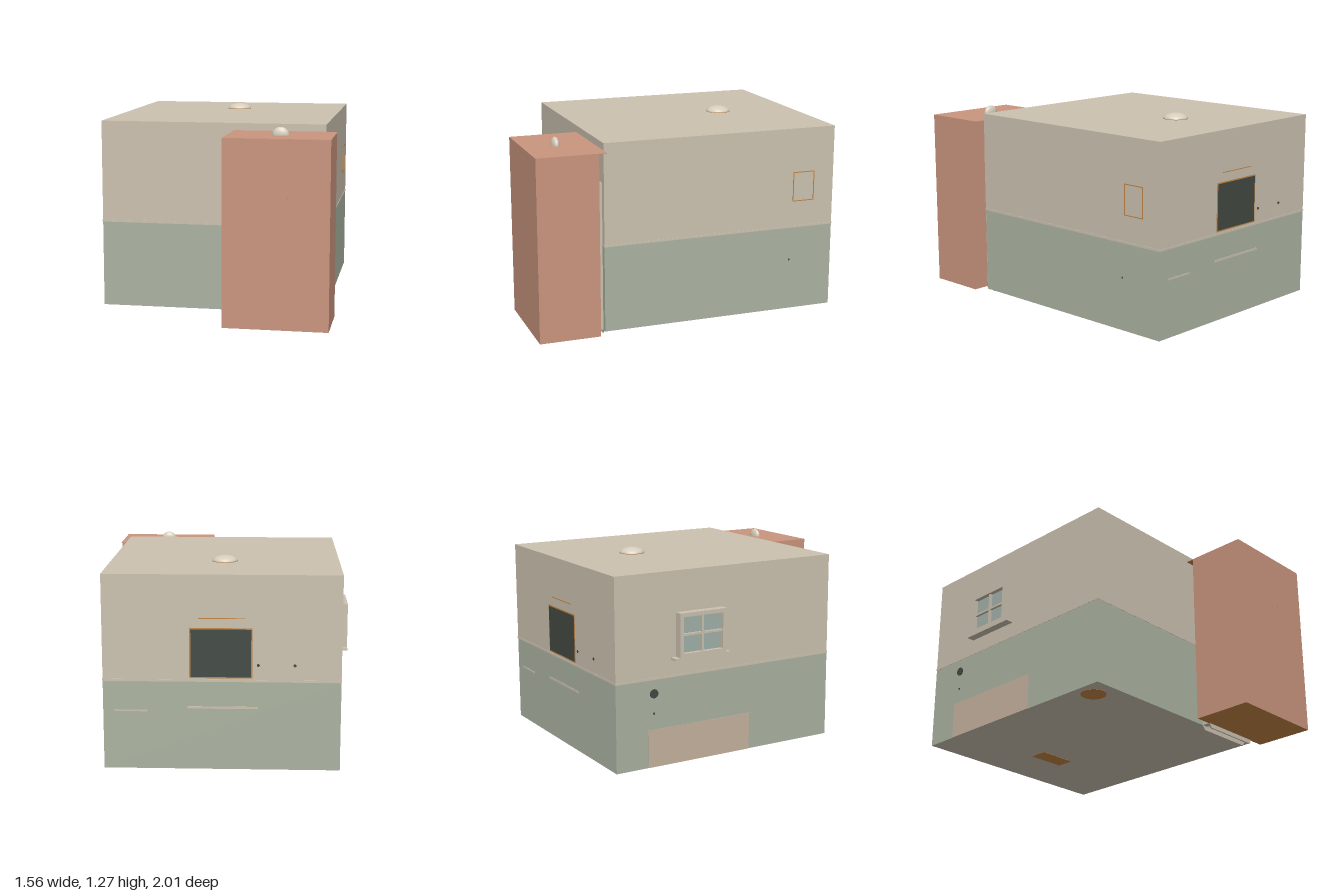
import * as THREE from 'three';

const mat = (name, color) => {
  const m = new THREE.MeshStandardMaterial({ color });
  m.name = name;
  return m;
};

export function createModel() {
  const model = new THREE.Group();
  model.name = 'room';

  const cream = mat('creamPlaster', 0xcbc1af);
  const green = mat('sageGreen', 0xabb3a1);
  const salmon = mat('salmon', 0xca957e);
  const wood = mat('wood', 0xc38643);
  const dark = mat('darkScreen', 0x424943);
  const glass = mat('glass', 0xa2b1a9);
  const pale = mat('paleLamp', 0xd6cdbd);
  const beige = mat('beigePanel', 0xc6b39f);

  // Box given by its lower and upper limits on each axis
  const box = (name, material, [x0, x1], [y0, y1], [z0, z1], parent = model) => {
    const mesh = new THREE.Mesh(new THREE.BoxGeometry(x1 - x0, y1 - y0, z1 - z0), material);
    mesh.position.set((x0 + x1) / 2, (y0 + y1) / 2, (z0 + z1) / 2);
    mesh.name = name;
    parent.add(mesh);
    return mesh;
  };

  // Main room limits
  const X0 = -0.73, X1 = 0.71, Z0 = -1, Z1 = 0.56;
  const T = 0.003;

  // Main room: cream upper walls, green lower walls, cream underside
  box('upperWalls', cream, [X0, X1], [0.58, 1.235], [Z0, Z1]);
  box('lowerWalls', [green, green, green, cream, green, green], [X0, X1], [0.03, 0.58], [Z0, Z1]);
  box('wallRail', cream, [X0 - T, X1 + T], [0.582, 0.594], [Z0 - T, Z1 + T]);

  // Entrance hall: walls, overhanging ceiling sheet, wooden floor
  box('hallWalls', [salmon, salmon, salmon, wood, salmon, salmon], [0.13, 0.78], [0.03, 1.187], [0.61, 1]);
  box('hallCeiling', [salmon, salmon, salmon, wood, salmon, salmon], [0.13, 0.78], [1.186, 1.19], [0.56, 1]);
  box('peephole', dark, [0.523, 0.527], [0.838, 0.842], [1, 1.001]);

  // Door frame between hall and room
  const door = new THREE.Group();
  door.name = 'doorFrame';
  model.add(door);
  for (const x of [0.24, 0.63]) box('doorJamb', cream, [x, x + 0.04], [0.03, 0.98], [0.56, 0.61], door);
  box('doorHeader', cream, [0.24, 0.67], [0.94, 0.98], [0.56, 0.61], door);

  // Threshold strips with slanted ends, under the doorway
  const sill = new THREE.Shape([[0.24, 0.03], [0.26, 0.002], [0.655, 0.002], [0.67, 0.03]].map(p => new THREE.Vector2(...p)));
  for (const z of [0.552, 0.608]) {
    const strip = new THREE.Mesh(new THREE.ExtrudeGeometry(sill, { depth: 0.009, bevelEnabled: false }), cream);
    strip.position.z = z;
    strip.name = 'threshold';
    model.add(strip);
  }

  // Ceiling lamps: flattened half domes
  const lamp = (name, x, y, z, rx, ry, rz) => {
    const dome = new THREE.Mesh(new THREE.SphereGeometry(1, 32, 12, 0, Math.PI * 2, 0, Math.PI / 2), pale);
    dome.scale.set(rx, ry, rz);
    dome.position.set(x, y, z);
    dome.name = name;
    model.add(dome);
  };
  lamp('roomLamp', -0.01, 1.235, -0.49, 0.08, 0.037, 0.08);
  lamp('hallLamp', 0.455, 1.19, 0.79, 0.052, 0.05, 0.025);
  const rim = new THREE.Mesh(new THREE.CylinderGeometry(0.081, 0.081, 0.004, 32), wood);
  rim.position.set(-0.01, 1.236, -0.49);
  rim.name = 'lampRim';
  model.add(rim);

  // Side window: frame, cross bars, glass and sill
  const win = new THREE.Group();
  win.name = 'sideWindow';
  model.add(win);
  const out = [-0.783, X0];
  box('windowSill', cream, out, [0.69, 0.705], [-0.62, -0.225], win);
  for (const z of [-0.585, -0.28]) box('windowStile', cream, out, [0.705, 0.98], [z, z + 0.025], win);
  for (const y of [0.705, 0.955]) box('windowRail', cream, out, [y, y + 0.025], [-0.56, -0.28], win);
  box('windowGlass', glass, [-0.755, -0.75], [0.73, 0.955], [-0.56, -0.28], win);
  box('windowMullion', cream, [-0.772, X0], [0.73, 0.955], [-0.427, -0.413], win);
  box('windowCrossbar', cream, [-0.772, X0], [0.836, 0.85], [-0.56, -0.28], win);

  // Low panel and dark knobs on the window side
  box('sidePanel', beige, [X0 - T, X0], [0.03, 0.268], [-0.78, -0.05]);
  const disc = (name, material, r, thick, pos, rot) => {
    const mesh = new THREE.Mesh(new THREE.CylinderGeometry(r, r, thick, 20), material);
    mesh.position.set(...pos);
    mesh.rotation.set(...rot);
    mesh.name = name;
    model.add(mesh);
  };
  const alongX = [0, 0, Math.PI / 2], alongZ = [Math.PI / 2, 0, 0];
  disc('sideKnob', dark, 0.028, 0.008, [X0 - 0.002, 0.495, -0.74], alongX);
  disc('sidePin', dark, 0.007, 0.004, [X0, 0.37, -0.74], alongX);
  disc('oppositePin', dark, 0.006, 0.004, [X1, 0.365, -0.7], alongX);

  // Back wall: framed dark screen, thin strips and knobs
  box('screenFrame', wood, [-0.195, 0.185], [0.603, 0.912], [Z0 - 0.002, Z0]);
  box('screen', dark, [-0.187, 0.177], [0.611, 0.904], [Z0 - 0.004, Z0]);
  box('upperStrip', wood, [-0.15, 0.13], [0.968, 0.973], [Z0 - 0.002, Z0]);
  box('longStrip', cream, [-0.23, 0.2], [0.413, 0.427], [Z0 - T, Z0]);
  box('shortStrip', cream, [0.44, 0.64], [0.392, 0.402], [Z0 - T, Z0]);
  for (const x of [-0.23, -0.45]) disc('backKnob', dark, 0.009, 0.006, [x, 0.685, Z0], alongZ);

  // Thin picture outline on the left wall
  const outline = new THREE.Group();
  outline.name = 'pictureOutline';
  model.add(outline);
  const face = [X1, X1 + 0.002];
  for (const z of [-0.865, -0.721]) box('outlineSide', wood, face, [0.755, 0.95], [z, z + 0.006], outline);
  for (const y of [0.755, 0.944]) box('outlineBar', wood, face, [y, y + 0.006], [-0.865, -0.715], outline);

  // Wooden feet of the furniture, flush with the underside
  box('tableFoot', wood, [-0.13, 0.13], [0.028, 0.03], [-0.66, -0.54]);
  disc('potFoot', wood, 0.08, 0.002, [-0.61, 0.029, 0.41], [0, 0, 0]);

  return model;
}
